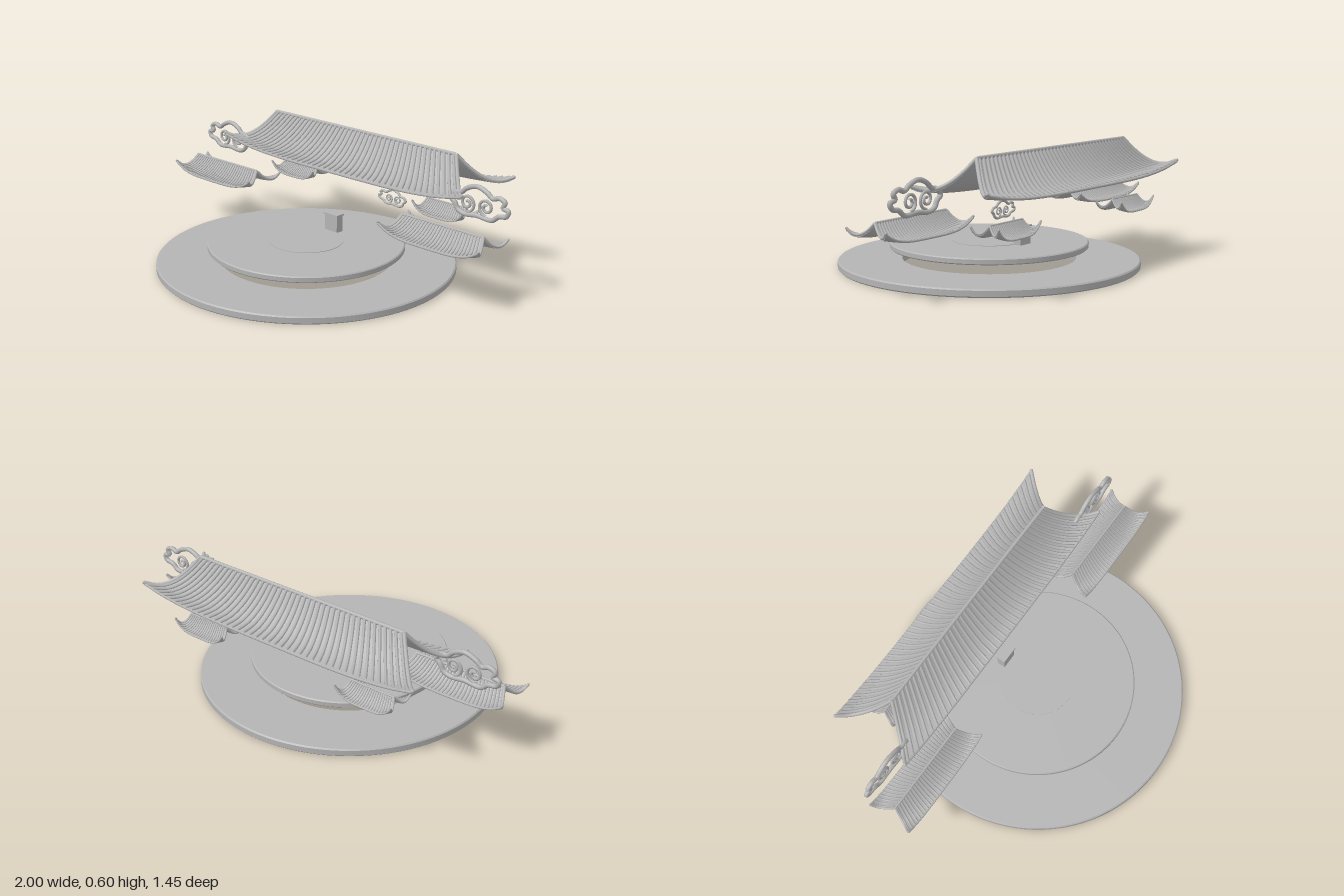
import * as THREE from 'three';
import { mergeGeometries, toCreasedNormals } from 'three/addons/utils/BufferGeometryUtils.js';

const stone = new THREE.MeshStandardMaterial({ color: 0xb4b4b4 });
stone.name = 'grey stone';

function addMesh(parent, geometry, name) {
  const mesh = new THREE.Mesh(geometry, stone);
  mesh.name = name;
  parent.add(mesh);
  return mesh;
}

function tube(points, radius, segments, sides = 6, closed = false) {
  const curve = new THREE.CatmullRomCurve3(points, closed);
  return new THREE.TubeGeometry(curve, segments, radius, sides, closed);
}

// Turned slab with small bevels; points are [radius, height]
function turned(points) {
  const profile = points.map(([r, y]) => new THREE.Vector2(r, y));
  return toCreasedNormals(new THREE.LatheGeometry(profile, 96), 0.35);
}

// Curved two-sided roof: u runs along the ridge, v from back eave to front eave
function roofPoint(r, u, v, lift = 0) {
  const t = Math.abs(v);
  const y = r.low + (r.top - r.low) * Math.pow(1 - t, 1.9)
    + r.cornerLift * t ** 3 * u ** 4;
  return new THREE.Vector3(u * (r.ridgeHalf + (r.eaveHalf - r.ridgeHalf) * t), y + lift, v * r.depth);
}

// Closed shell lofted from cross-section loops
function roofShell(r) {
  const nu = 32, nv = 24, n = nv + 1, loop = 2 * n;
  const pos = [], index = [];
  for (let i = 0; i <= nu; i++) {
    const u = -1 + 2 * i / nu;
    for (let j = 0; j < loop; j++) {
      const k = j < n ? j : loop - 1 - j;
      pos.push(...roofPoint(r, u, -1 + 2 * k / nv, j < n ? 0 : -r.thick).toArray());
    }
  }
  for (let i = 0; i < nu; i++) {
    for (let j = 0; j < loop; j++) {
      const a = i * loop + j, b = i * loop + (j + 1) % loop;
      index.push(a, b, a + loop, b, b + loop, a + loop);
    }
  }
  const last = nu * loop;
  for (let j = 0; j < nv; j++) {
    const t0 = j, t1 = j + 1, b0 = loop - 1 - j, b1 = loop - 2 - j;
    index.push(b0, b1, t0, b1, t1, t0);
    index.push(last + b0, last + t0, last + b1, last + b1, last + t0, last + t1);
  }
  const g = new THREE.BufferGeometry();
  g.setAttribute('position', new THREE.Float32BufferAttribute(pos, 3));
  g.setIndex(index);
  return toCreasedNormals(g, 0.6);
}

function makeRoof(name, r) {
  const roof = new THREE.Group();
  roof.name = name;
  addMesh(roof, roofShell(r), 'roofShell');

  // Rows of half-round tiles down both slopes
  const ribs = [];
  for (let i = 0; i < r.ribs; i++) {
    const u = -0.97 + 1.94 * i / (r.ribs - 1);
    for (const side of [-1, 1]) {
      const pts = [0, 0.25, 0.5, 0.75, 1].map(t => roofPoint(r, u, side * t, r.rib * 0.2));
      ribs.push(tube(pts, r.rib, 9, 6));
    }
  }
  addMesh(roof, mergeGeometries(ribs), 'tileRows');

  // Ridge, gable edges and eave edges
  const trims = [tube([roofPoint(r, -1, 0), roofPoint(r, 0, 0), roofPoint(r, 1, 0)], r.trim, 4, 8)];
  for (const side of [-1, 1]) {
    const steps = [0, 0.2, 0.4, 0.6, 0.8, 1];
    for (const end of [-1, 1]) {
      trims.push(tube(steps.map(t => roofPoint(r, end, side * t)), r.trim, 16, 8));
      const tip = new THREE.SphereGeometry(r.trim, 8, 6);
      const p = roofPoint(r, end, side);
      trims.push(tip.translate(p.x, p.y, p.z));
    }
    const eave = [];
    for (let i = 0; i <= 16; i++) eave.push(roofPoint(r, -1 + i / 8, side, -r.thick / 2));
    trims.push(tube(eave, r.thick * 0.55, 32, 6));
  }
  addMesh(roof, mergeGeometries(trims), 'roofTrim');
  return roof;
}

// Scrolled cloud: lobed outline with two curls, about 0.33 wide
function makeCloud(name) {
  const cloud = new THREE.Group();
  cloud.name = name;
  const outline = [
    [-0.07, -0.065], [-0.105, -0.04], [-0.145, -0.03], [-0.155, -0.005], [-0.125, 0.005],
    [-0.135, 0.03], [-0.105, 0.045], [-0.07, 0.035], [-0.04, 0.055], [0.015, 0.073],
    [0.07, 0.055], [0.1, 0.03], [0.135, 0.022], [0.158, -0.005], [0.135, -0.026],
    [0.12, -0.053], [0.085, -0.068], [0.01, -0.062],
  ].map(([x, y]) => new THREE.Vector3(x, y, 0));
  addMesh(cloud, tube(outline, 0.0115, 120, 8, true), 'cloudOutline');
  for (const side of [-1, 1]) {
    const pts = [];
    for (let i = 0; i <= 20; i++) {
      const a = -Math.PI / 2 - i / 20 * Math.PI * 3.2;
      const rad = 0.042 - 0.034 * i / 20;
      pts.push(new THREE.Vector3(0.015 + side * (0.052 + rad * Math.cos(a)), -0.014 + rad * Math.sin(a), 0));
    }
    addMesh(cloud, tube(pts, 0.007, 60, 6), 'cloudCurl');
  }
  return cloud;
}

export function createModel() {
  const model = new THREE.Group();
  model.name = 'floatingRoofs';

  // Ring base, upper platform and its shallow centre disc
  addMesh(model, turned([[0.418, 0], [0.72, 0], [0.726, 0.006], [0.726, 0.032],
    [0.72, 0.038], [0.418, 0.038], [0.418, 0]]), 'baseRing');
  addMesh(model, turned([[0, 0.09], [0.473, 0.09], [0.478, 0.095], [0.478, 0.115],
    [0.473, 0.12], [0, 0.12]]), 'upperPlatform');
  addMesh(model, turned([[0.18, 0.119], [0.18, 0.1225], [0, 0.1225]]), 'centreDisc');

  // Small pedestal with cap
  const pedestal = new THREE.Group();
  pedestal.name = 'pedestal';
  addMesh(pedestal, new THREE.BoxGeometry(0.08, 0.086, 0.042).translate(0, 0.161, -0.194), 'pedestalBody');
  addMesh(pedestal, new THREE.BoxGeometry(0.092, 0.008, 0.052).translate(0, 0.207, -0.194), 'pedestalCap');
  model.add(pedestal);

  // Main roof
  const main = makeRoof('mainRoof', {
    ridgeHalf: 0.59, eaveHalf: 0.776, depth: 0.2, low: 0.426, top: 0.59,
    cornerLift: 0.05, thick: 0.012, ribs: 43, rib: 0.008, trim: 0.009,
  });
  main.position.z = -0.385;
  model.add(main);

  for (const side of [-1, 1]) {
    // Front side roofs
    const front = makeRoof(side > 0 ? 'leftFrontRoof' : 'rightFrontRoof', {
      ridgeHalf: 0.228, eaveHalf: 0.281, depth: 0.11, low: 0.263, top: 0.338,
      cornerLift: 0.05, thick: 0.01, ribs: 29, rib: 0.005, trim: 0.006,
    });
    front.position.set(side * 0.713, 0, -0.132);
    model.add(front);

    // Smaller rear side roofs
    const rear = makeRoof(side > 0 ? 'leftRearRoof' : 'rightRearRoof', {
      ridgeHalf: 0.115, eaveHalf: 0.15, depth: 0.073, low: 0.256, top: 0.314,
      cornerLift: 0.052, thick: 0.008, ribs: 21, rib: 0.0036, trim: 0.0045,
    });
    rear.position.set(side * 0.485, 0, -0.462);
    model.add(rear);

    // Large clouds at the main roof ends
    const cloud = makeCloud(side > 0 ? 'leftCloud' : 'rightCloud');
    cloud.position.set(side * 0.825, 0.44, -0.253);
    if (side > 0) cloud.rotation.y = Math.PI;
    model.add(cloud);
  }

  // Single small cloud
  const smallCloud = makeCloud('smallCloud');
  smallCloud.position.set(0.285, 0.332, -0.297);
  smallCloud.scale.setScalar(0.53);
  model.add(smallCloud);

  return model;
}
